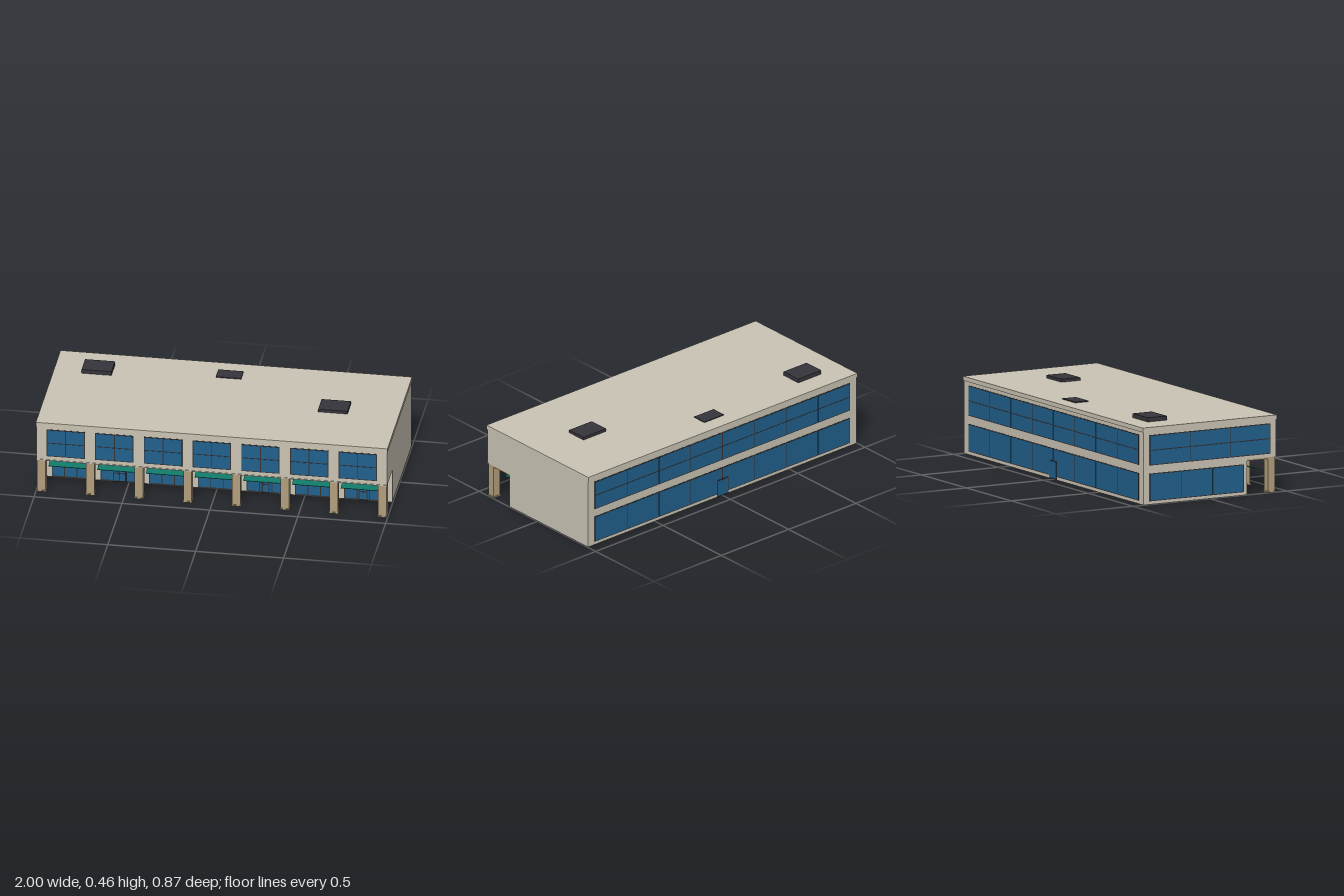
import * as THREE from 'three';

const mat = (name, color) => {
  const m = new THREE.MeshStandardMaterial({ color });
  m.name = name;
  return m;
};

export function createModel() {
  const wall = mat('beige wall', 0xcac3b4);
  const stone = mat('tan stone', 0xb29e7c);
  const glass = mat('blue glass', 0x20608c);
  const frame = mat('dark frame', 0x37302f);
  const green = mat('green awning', 0x0f7867);
  const roofUnit = mat('charcoal', 0x35343b);
  const brass = mat('brass', 0xb3924f);

  const model = new THREE.Group();
  model.name = 'building';

  // Box given by its minimum and maximum corners
  function box(name, material, x0, x1, y0, y1, z0, z1, parent = model) {
    const mesh = new THREE.Mesh(new THREE.BoxGeometry(x1 - x0, y1 - y0, z1 - z0), material);
    mesh.position.set((x0 + x1) / 2, (y0 + y1) / 2, (z0 + z1) / 2);
    mesh.name = name;
    parent.add(mesh);
    return mesh;
  }

  // Framed glazing facing +z: thin frame plate with a grid of panes over it
  function glazing(name, x0, x1, y0, y1, cols, rows, bar = 0.005) {
    const g = new THREE.Group();
    g.name = name;
    box('frame', frame, x0, x1, y0, y1, -0.001, 0.0015, g);
    const w = (x1 - x0 - bar) / cols, h = (y1 - y0 - bar) / rows;
    for (let i = 0; i < cols; i++) {
      for (let j = 0; j < rows; j++) {
        const px = x0 + bar + i * w, py = y0 + bar + j * h;
        box('pane', glass, px, px + w - bar, py, py + h - bar, 0, 0.0025, g);
      }
    }
    model.add(g);
    return g;
  }

  // Walls, overhanging upper floor and roof edge
  box('groundFloor', wall, -0.997, 0.997, 0, 0.203, -0.431, 0.245);
  box('upperFloor', wall, -0.997, 0.997, 0.203, 0.415, -0.431, 0.431);
  box('roofCornice', wall, -1, 1, 0.415, 0.44, -0.436, 0.436);
  box('floorLedge', wall, -0.998, 0.998, 0.2, 0.206, 0.425, 0.434);

  // Arcade columns with bases and beams back to the wall
  const bay = 0.277;
  for (let i = 0; i < 8; i++) {
    const x = (i - 3.5) * bay;
    box('column', stone, x - 0.024, x + 0.024, 0.008, 0.203, 0.383, 0.428);
    box('columnBase', stone, x - 0.027, x + 0.027, 0, 0.008, 0.379, 0.431);
    box('ceilingBeam', stone, x - 0.024, x + 0.024, 0.193, 0.203, 0.245, 0.383);
  }

  // Front bays: upper window, shop window and sloping awning
  for (let i = 0; i < 7; i++) {
    const x = (i - 3) * bay, half = 0.109;
    glazing('upperWindow', x - half, x + half, 0.228, 0.398, 2, 2).position.z = 0.431;
    glazing('shopWindow', x - half, x + half, 0.004, 0.155, 3, 1).position.z = 0.245;
    box('awningRail', green, x - half, x + half, 0.122, 0.157, 0.246, 0.25);
    const slope = Math.atan2(0.03, 0.112);
    const awning = box('awning', green, x - half, x + half, -0.0015, 0.0015, -0.058, 0.058);
    awning.position.set(x, 0.142, 0.304);
    awning.rotation.x = slope;
  }

  // Front doors: one double, two single
  for (const [x, w, leaves] of [[-2 * bay, 0.076, 2], [bay, 0.045, 1], [3 * bay, 0.052, 1]]) {
    const door = glazing('frontDoor', x - w / 2, x + w / 2, 0.002, 0.11, leaves, 2, 0.007);
    door.position.z = 0.248;
    if (leaves === 2) box('doorHeader', brass, x - w / 2, x + w / 2, 0.11, 0.114, 0.246, 0.25);
  }

  // Back wall: two long window bands and a door
  const back = [
    glazing('backUpperWindows', -0.948, 0.948, 0.222, 0.395, 8, 2),
    glazing('backLowerWindows', -0.948, 0.948, 0.018, 0.176, 8, 1),
    glazing('backDoor', -0.042, 0.042, 0.002, 0.106, 1, 1, 0.006),
  ];
  back.forEach((g, i) => {
    g.rotation.y = Math.PI;
    g.position.z = i === 2 ? -0.434 : -0.431;
  });

  // Right end wall windows (the left end wall is blank)
  const side = [
    glazing('sideUpperWindows', -0.39, 0.395, 0.222, 0.395, 3, 2),
    glazing('sideLowerWindows', -0.39, 0.222, 0.018, 0.176, 3, 1),
  ];
  for (const g of side) {
    g.rotation.y = -Math.PI / 2;
    g.position.x = -0.997;
  }

  // Rooftop units
  box('roofUnit', roofUnit, -0.84, -0.67, 0.44, 0.464, -0.31, -0.185);
  box('roofHatch', roofUnit, -0.088, 0.056, 0.44, 0.445, -0.343, -0.255);
  box('roofUnit', roofUnit, 0.545, 0.712, 0.44, 0.457, -0.063, 0.06);

  return model;
}
